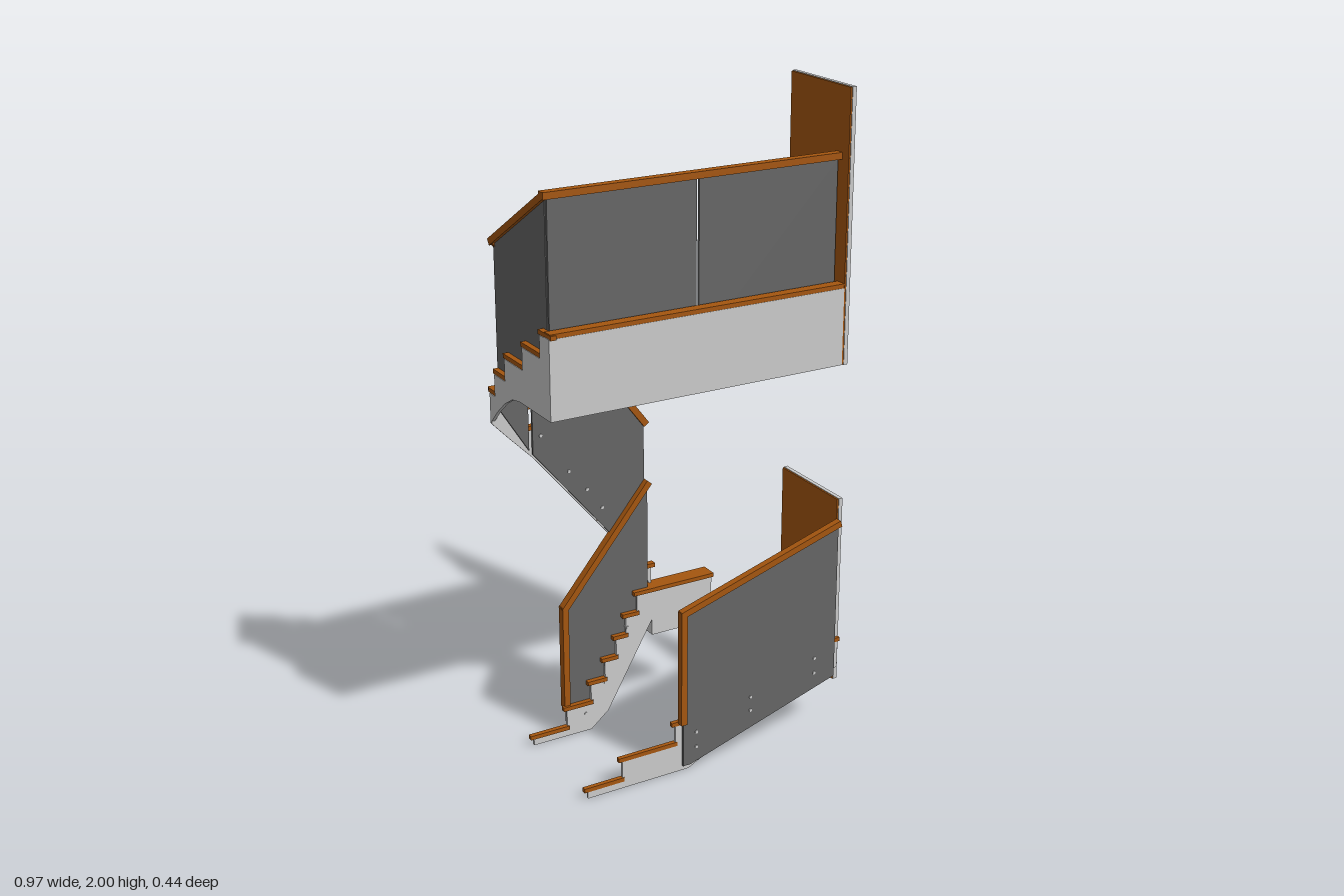
import * as THREE from 'three';

const grey = new THREE.MeshStandardMaterial({ color: 0xcccccc });
const wood = new THREE.MeshStandardMaterial({ color: 0xa5560f });
const glass = new THREE.MeshStandardMaterial({ color: 0x666666 });

function add(parent, name, geometry, material) {
  const mesh = new THREE.Mesh(geometry, material);
  mesh.name = name;
  parent.add(mesh);
  return mesh;
}

// box given by its limits on each axis
function box(parent, name, material, [x0, x1], [y0, y1], [z0, z1]) {
  const mesh = add(parent, name, new THREE.BoxGeometry(x1 - x0, y1 - y0, z1 - z0), material);
  mesh.position.set((x0 + x1) / 2, (y0 + y1) / 2, (z0 + z1) / 2);
  return mesh;
}

// flat outline in x/y, thickened from z0 to z1
function plate(parent, name, material, points, z0, z1) {
  const shape = new THREE.Shape(points.map(([x, y]) => new THREE.Vector2(x, y)));
  const geometry = new THREE.ExtrudeGeometry(shape, { depth: z1 - z0, bevelEnabled: false });
  geometry.translate(0, 0, z0);
  return add(parent, name, geometry, material);
}

// square-section rail along a polyline in x/y
function rail(parent, name, points, z, width = 0.026, height = 0.02) {
  for (let i = 1; i < points.length; i++) {
    const [ax, ay] = points[i - 1], [bx, by] = points[i];
    const length = Math.hypot(bx - ax, by - ay) + height * 0.6;
    const mesh = add(parent, name, new THREE.BoxGeometry(length, height, width), wood);
    mesh.position.set((ax + bx) / 2, (ay + by) / 2, z);
    mesh.rotation.z = Math.atan2(by - ay, bx - ax);
  }
}

// stepped stringer rising along local +x, with wooden treads
function flight(parent, steps, end, bottom, [z0, z1], [t0, t1]) {
  const thick = 0.013;
  const outline = [];
  steps.forEach(([x, y], i) => {
    const next = i + 1 < steps.length ? steps[i + 1][0] : end;
    outline.push([x, y - thick], [next, y - thick]);
    box(parent, 'tread', wood, [x - 0.012, next + 0.006], [y - thick, y], [t0, t1]);
  });
  plate(parent, 'stringer', grey, [...bottom, ...outline.reverse()], z0, z1);
}

// glass fixings, running through the panel into the stringer
function bolts(parent, points, z, length = 0.028) {
  for (const [x, y] of points) {
    const mesh = add(parent, 'glassBolt', new THREE.CylinderGeometry(0.005, 0.005, length, 10), grey);
    mesh.rotation.x = Math.PI / 2;
    mesh.position.set(x, y, z);
  }
}

function section(model, name, turn = 0) {
  const group = new THREE.Group();
  group.name = name;
  group.rotation.y = turn;
  model.add(group);
  return group;
}

export function createModel() {
  const model = new THREE.Group();
  model.name = 'staircase';
  const rise = 0.0665;

  // outer lower flight, at the front
  const front = section(model, 'frontFlight');
  const frontSteps = [-0.4, -0.285, -0.105, 0.12, 0.45].map((x, i) => [x, 0.035 + rise * i]);
  flight(front, frontSteps, 0.475,
    [[-0.4, 0], [-0.06, 0], [0.03, 0.045], [0.18, 0.12], [0.33, 0.17], [0.475, 0.2]],
    [0.19, 0.198], [0.186, 0.2]);
  plate(front, 'frontGlass', glass,
    [[-0.085, 0.02], [-0.06, 0.02], [0.455, 0.18], [0.455, 0.69], [-0.085, 0.525]], 0.203, 0.211);
  rail(front, 'frontHandrail', [[-0.085, 0.168], [-0.085, 0.525], [0.455, 0.692]], 0.207, 0.022);
  bolts(front, [[-0.04, 0.075], [-0.04, 0.125], [0.15, 0.145], [0.15, 0.19], [0.38, 0.21], [0.38, 0.26]], 0.2);

  // inner lower flight, at the back
  const inner = section(model, 'innerFlight');
  const innerSteps = [-0.4, -0.285, -0.2, -0.15, -0.11, -0.075, -0.035].map((x, i) => [x, 0.035 + rise * i]);
  flight(inner, innerSteps, 0.02,
    [[-0.4, 0], [-0.2, 0], [-0.14, 0.05], [0.02, 0.33]], [-0.163, -0.155], [-0.167, -0.151]);
  plate(inner, 'innerGlass', glass,
    [[-0.28, 0.04], [-0.18, 0.03], [-0.13, 0.09], [0.01, 0.41], [0.01, 0.775], [-0.28, 0.43]], -0.176, -0.168);
  rail(inner, 'innerHandrail', [[-0.28, 0.1], [-0.28, 0.43], [0.01, 0.782]], -0.172);
  bolts(inner, [[-0.22, 0.06], [-0.15, 0.15], [-0.07, 0.32]], -0.166);

  // quarter landing at the foot of the upper flight
  box(model, 'landingBox', grey, [0.02, 0.235], [0.27, 0.42], [-0.203, -0.158]);
  box(model, 'landingTop', wood, [0.01, 0.24], [0.42, 0.433], [-0.208, -0.153]);

  // upper flight along the back, rising toward -x
  const upper = section(model, 'upperFlight', Math.PI);
  const upperSteps = Array.from({ length: 11 }, (_, i) => [-0.035 + 0.0455 * i, 0.433 + rise * (i + 1)]);
  flight(upper, upperSteps, 0.475,
    [[-0.035, 0.42], [-0.02, 0.45], [0.03, 0.53], [0.11, 0.63], [0.36, 0.93], [0.43, 1.0], [0.487, 1.06]],
    [0.192, 0.202], [0.186, 0.207]);
  box(upper, 'cornerTread', wood, [0.405, 0.482], [1.152, 1.165], [0.19, 0.22]);
  plate(upper, 'upperGlass', glass,
    [[-0.005, 0.565], [0.06, 0.575], [0.365, 0.945], [0.365, 1.455], [-0.005, 0.97]], 0.179, 0.187);
  plate(upper, 'upperCornerGlass', glass,
    [[0.377, 0.96], [0.465, 1.1], [0.465, 1.59], [0.377, 1.47]], 0.179, 0.187);
  rail(upper, 'upperHandrail', [[-0.008, 0.975], [0.465, 1.6]], 0.185);
  bolts(upper, [[0.06, 0.63], [0.14, 0.73], [0.19, 0.8], [0.25, 0.87], [0.34, 1.0]], 0.19);

  // short side flight, rising toward +z
  const side = section(model, 'sideFlight', -Math.PI / 2);
  const sideSteps = [-0.2, -0.165, -0.095, 0.02, 0.13].map((x, i) => [x, 1.165 + rise * i]);
  flight(side, sideSteps, 0.188,
    [[-0.2, 1.06], [-0.15, 1.11], [-0.1, 1.15], [-0.05, 1.178], [0, 1.187], [0.188, 1.187]],
    [0.476, 0.487], [0.468, 0.485]);
  plate(side, 'sideGlass', glass,
    [[-0.182, 1.1], [-0.1, 1.17], [0, 1.21], [0.14, 1.25], [0.14, 1.79], [-0.182, 1.6]], 0.461, 0.468);
  rail(side, 'sideHandrail', [[-0.187, 1.6], [0.143, 1.798]], 0.465, 0.028);
  bolts(side, [[-0.13, 1.18], [-0.06, 1.24], [0.06, 1.3]], 0.47);

  // upper floor edge with balustrade
  const floor = section(model, 'upperFloorEdge');
  box(floor, 'fascia', grey, [-0.487, 0.48], [1.187, 1.42], [0.157, 0.188]);
  box(floor, 'fasciaTop', wood, [-0.483, 0.465], [1.42, 1.433], [0.153, 0.187]);
  box(floor, 'balustradeGlass', glass, [-0.465, -0.009], [1.31, 1.792], [0.14, 0.148]);
  box(floor, 'balustradeGlass', glass, [-0.001, 0.455], [1.31, 1.792], [0.14, 0.148]);
  box(floor, 'balustradeHandrail', wood, [-0.48, 0.464], [1.79, 1.81], [0.13, 0.157]);
  bolts(floor, [-0.38, -0.1, 0.09, 0.38].flatMap((x) => [[x, 1.35], [x, 1.39]]), 0.146, 0.03);

  // wall panels on the left, faced with wood inside
  for (const [y0, y1] of [[0.155, 0.763], [1.187, 2]]) {
    box(model, 'wallPanel', grey, [0.468, 0.481], [y0, y1], [-0.11, 0.19]);
    box(model, 'wallFacing', wood, [0.463, 0.468], [y0 + 0.002, y1 - 0.002], [-0.108, 0.188]);
  }

  // angled corner brackets holding the glass edges
  const brackets = [
    [0.465, 1.745, 0.1, 0.42, 0.14], [-0.46, 1.745, 0.1, -0.425, 0.14],
    [0.465, 0.645, 0.165, 0.43, 0.203],
    [-0.46, 1.48, -0.14, -0.425, -0.18], [-0.46, 1.27, -0.14, -0.425, -0.18],
  ];
  for (const [ax, y, az, bx, bz] of brackets) {
    const path = new THREE.LineCurve3(new THREE.Vector3(ax, y, az), new THREE.Vector3(bx, y, bz));
    add(model, 'cornerBracket', new THREE.TubeGeometry(path, 1, 0.004, 8), grey);
    for (const [x, z] of [[ax, az], [bx, bz]]) {
      add(model, 'bracketKnob', new THREE.SphereGeometry(0.007, 10, 8), grey).position.set(x, y, z);
    }
  }
  return model;
}
